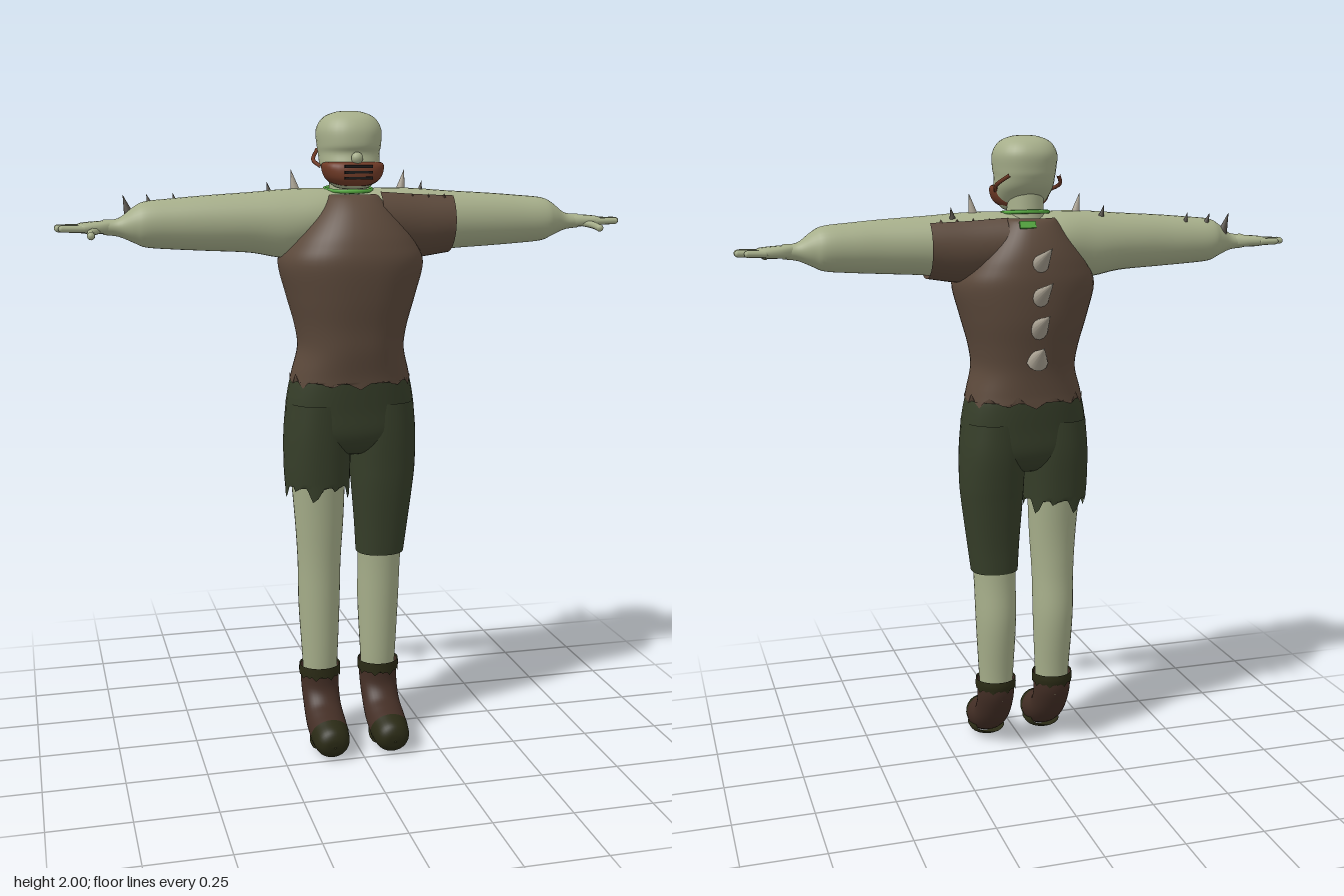
import * as THREE from 'three';

const V3 = (x, y, z) => new THREE.Vector3(x, y, z);
const mat = (name, color, side = THREE.FrontSide) => {
  const m = new THREE.MeshStandardMaterial({ color, side });
  m.name = name;
  return m;
};

// Smooth skin through cross-sections; each ring is [centre, half axis u, half axis v]
function loft(rings, { seg = 32, sub = 5, n = 2, arc = [0, 360], hem } = {}) {
  const curves = [0, 1, 2].map(k => new THREE.CatmullRomCurve3(rings.map(r => r[k]), false, 'catmullrom', 0.5));
  const rows = (rings.length - 1) * sub;
  const closed = arc[1] - arc[0] === 360;
  const cols = closed ? seg : seg + 1;
  const pos = [], idx = [];
  const bend = s => Math.sign(s) * Math.pow(Math.abs(s), 2 / n);
  let turn = 0;
  for (let i = 0; i <= rows; i++) {
    const [c, u, v] = curves.map(k => k.getPoint(i / rows));
    if (i < rows) turn += u.clone().cross(v).dot(curves[0].getPoint((i + 1) / rows).sub(c));
    for (let j = 0; j < cols; j++) {
      const a = THREE.MathUtils.degToRad(arc[0] + (arc[1] - arc[0]) * j / seg);
      const p = c.clone().addScaledVector(u, bend(Math.cos(a))).addScaledVector(v, bend(Math.sin(a)));
      if (hem && i === 0) p.y += hem[j % hem.length];
      pos.push(p.x, p.y, p.z);
    }
  }
  for (let i = 0; i < rows; i++) for (let j = 0; j < seg; j++) {
    const a = i * cols + j, b = i * cols + (j + 1) % cols, c = a + cols, d = b + cols;
    if (turn < 0) idx.push(a, c, b, b, c, d);
    else idx.push(a, b, c, b, d, c);
  }
  const g = new THREE.BufferGeometry();
  g.setAttribute('position', new THREE.Float32BufferAttribute(pos, 3));
  g.setIndex(idx);
  g.computeVertexNormals();
  return g;
}

// Upright ring: height, centre x, half width, back z, front z
const up = ([y, cx, rx, z0, z1]) => [V3(cx, y, (z0 + z1) / 2), V3(rx, 0, 0), V3(0, 0, (z1 - z0) / 2)];
// Sideways ring for arms: x, bottom y, top y, back z, front z
const across = s => ([x, y0, y1, z0, z1]) =>
  [V3(s * x, (y0 + y1) / 2, (z0 + z1) / 2), V3(0, 0, (z1 - z0) / 2), V3(0, (y1 - y0) / 2, 0)];
// Tilted ring for boots: heel-side z, y, instep-side z, y, half width
const tilted = cx => ([zb, yb, zf, yf, rx]) =>
  [V3(cx, (yb + yf) / 2, (zb + zf) / 2), V3(rx, 0, 0), V3(0, (yf - yb) / 2, (zf - zb) / 2)];

export function createModel() {
  const root = new THREE.Group();
  root.name = 'figure';
  const skin = mat('paleGreenSkin', 0xa6ae8a);
  const shirt = mat('brownShirt', 0x5c493b, THREE.DoubleSide);
  const pants = mat('darkGreenTrousers', 0x363e29, THREE.DoubleSide);
  const boot = mat('bootLeather', 0x432e25, THREE.DoubleSide);
  const trim = mat('oliveTrim', 0x2a2a15, THREE.DoubleSide);
  const mask = mat('rustMask', 0x6f3a26);
  const bone = mat('boneSpike', 0xaba394);
  const dark = mat('darkSpike', 0x4f4a42);
  const green = mat('brightGreen', 0x55a83f);
  const black = mat('blackGrille', 0x1d1a19);

  const add = (name, geo, m) => {
    const mesh = new THREE.Mesh(geo, m);
    mesh.name = name;
    root.add(mesh);
    return mesh;
  };
  const spike = (name, base, tip, r, m) => {
    const dir = tip.clone().sub(base), len = dir.length();
    const g = new THREE.ConeGeometry(r, len, 14).translate(0, len / 2, 0);
    const mesh = add(name, g, m);
    mesh.position.copy(base);
    mesh.quaternion.setFromUnitVectors(V3(0, 1, 0), dir.normalize());
  };
  const tube = (name, pts, r, m) =>
    add(name, new THREE.TubeGeometry(new THREE.CatmullRomCurve3(pts), 16, r, 8), m);

  // Head, nose and neck
  add('head', loft([
    [1.768, 0, .004, .07, .1], [1.775, 0, .05, .03, .13], [1.80, 0, .074, 0, .145], [1.84, 0, .089, -.045, .143],
    [1.875, 0, .092, -.063, .134], [1.9, 0, .096, -.068, .142], [1.945, 0, .098, -.07, .137],
    [1.98, 0, .078, -.045, .112], [1.997, 0, .04, 0, .07], [2, 0, .002, .033, .037]
  ].map(up), { n: 2.2 }), skin);
  const nose = add('nose', new THREE.SphereGeometry(.018, 14, 10), skin);
  nose.position.set(0, 1.862, .142);
  add('neck', loft([[1.68, 0, .08, -.05, .1], [1.75, 0, .06, -.035, .085], [1.83, 0, .055, -.03, .08]].map(up)), skin);

  // Mouth mask with grille bars and straps
  add('mask', loft([
    [1.778, 0, .005, .07, .1], [1.782, 0, .05, .02, .145], [1.80, 0, .08, .01, .162],
    [1.83, 0, .093, .01, .162], [1.848, 0, .088, .02, .15], [1.85, 0, .06, .03, .13]
  ].map(up), { n: 2.6 }), mask);
  for (const y of [1.804, 1.821, 1.838]) {
    const bar = add('grilleBar', new THREE.BoxGeometry(.085, .008, .009), black);
    bar.position.set(0, y, .161);
  }
  for (const s of [-1, 1]) {
    tube('maskStrap', [V3(s * .088, 1.835, .05), V3(s * .1, 1.855, -.01), V3(s * .075, 1.885, -.07)], .006, mask);
  }

  // Green collar
  const collar = add('collar', new THREE.TorusGeometry(.072, .006, 8, 36), green);
  collar.rotation.x = Math.PI / 2 + .08;
  collar.position.set(0, 1.768, .03);
  const patch = add('collarPatch', new THREE.BoxGeometry(.05, .022, .008), green);
  patch.position.set(.03, 1.738, -.1);
  patch.rotation.x = .5;

  // Shirt body with torn hem
  add('shirtBody', loft([
    [1.185, 0, .188, -.092, .193], [1.22, 0, .18, -.092, .198], [1.29, 0, .163, -.098, .213], [1.36, 0, .172, -.112, .223],
    [1.45, 0, .197, -.132, .24], [1.55, 0, .221, -.142, .252], [1.61, 0, .197, -.14, .242],
    [1.66, 0, .162, -.132, .222], [1.71, 0, .122, -.115, .19], [1.745, 0, .094, -.095, .155], [1.755, 0, .085, -.075, .13]
  ].map(up), { seg: 48, n: 2.35, hem: [0, .008, .022, .01, -.012, .004, .03, -.004] }), shirt);

  // Torn left sleeve, open along the top
  add('leftSleeve', loft([
    [.08, 1.57, 1.785, -.09, .16], [.2, 1.558, 1.777, -.073, .151], [.312, 1.572, 1.77, -.06, .146]
  ].map(across(1)), { arc: [132, 412], seg: 36 }), shirt);
  for (const z of [-.03, .115]) for (let i = 0; i < 4; i++) {
    const rag = add('sleeveRag', new THREE.ConeGeometry(.022, .035, 3), shirt);
    rag.position.set(.13 + i * .05, 1.738, z);
    rag.scale.z = .3;
  }

  for (const s of [-1, 1]) {
    const side = s > 0 ? 'left' : 'right';
    // Arm with swollen forearm and narrow wrist
    add(side + 'Arm', loft([
      [.0, 1.62, 1.765, -.06, .12], [.1, 1.59, 1.772, -.075, .14], [.2, 1.565, 1.77, -.062, .142],
      [.31, 1.582, 1.762, -.045, .134], [.44, 1.59, 1.754, -.03, .125], [.54, 1.596, 1.746, -.025, .118],
      [.62, 1.603, 1.738, -.02, .112], [.655, 1.617, 1.722, -.004, .1], [.7, 1.636, 1.69, .018, .078], [.745, 1.642, 1.686, .02, .074]
    ].map(across(s))), skin);
    // Hand
    add(side + 'Palm', loft([
      [.715, 1.645, 1.685, .022, .07], [.75, 1.645, 1.683, .008, .08], [.79, 1.646, 1.68, .002, .085],
      [.815, 1.65, 1.676, .008, .08], [.82, 1.66, 1.666, .03, .06]
    ].map(across(s)), { seg: 20, n: 2.5 }), skin);
    for (let i = 0; i < 4; i++) {
      const f = add(side + 'Finger', new THREE.CapsuleGeometry(.0105, [.05, .075, .075, .065][i], 5, 10), skin);
      f.rotation.z = Math.PI / 2 + s * .02;
      f.position.set(s * (.835 + [-.012, .002, .002, -.004][i]), 1.662, .075 - (3 - i) * .0215);
    }
    tube(side + 'Thumb', [V3(s * .745, 1.66, .055), V3(s * .78, 1.652, .09), V3(s * .785, 1.645, .138)], .011, skin);
    const tip = add(side + 'ThumbTip', new THREE.SphereGeometry(.0115, 10, 8), skin);
    tip.position.set(s * .785, 1.645, .138);

    // Bare leg
    add(side + 'Leg', loft([
      [.18, s * .097, .052, -.01, .09], [.27, s * .097, .057, -.015, .098], [.45, s * .098, .066, -.034, .106],
      [.6, s * .099, .069, -.024, .112], [.75, s * .1, .078, -.025, .125], [.95, s * .105, .09, -.05, .145]
    ].map(up)), skin);

    // Boot: shaft and foot, toe cap, cuff
    const foot = [
      [-.02, .245, .102, .245, .063], [-.01, .18, .1, .18, .061], [.035, .095, .125, .143, .06],
      [.095, .04, .165, .127, .062], [.165, .006, .205, .117, .061],
      [.22, 0, .247, .1, .053], [.252, .018, .263, .075, .034], [.262, .045, .264, .05, .003]
    ].map(tilted(s * .098));
    add(side + 'Boot', loft(foot.slice(0, 5)), boot);
    add(side + 'ToeCap', loft(foot.slice(4)), trim);
    add(side + 'Sole', loft([
      [.08, .034, .15, .062, .048], [.12, .012, .18, .05, .057], [.17, -.002 + .004, .21, .06, .058]
    ].map(tilted(s * .098))), trim);
    add(side + 'BootCuff', loft([
      [.215, s * .098, .066, -.02, .106], [.232, s * .098, .067, -.023, .106], [.25, s * .098, .066, -.022, .106]
    ].map(up), { hem: [0, .01, -.008, .004] }), trim);

    // Shoulder spikes
    spike('shoulderSpike', V3(s * .163, 1.755, .03), V3(s * .178, 1.828, .028), .016, bone);
    spike('smallShoulderSpike', V3(s * .238, 1.755, -.005), V3(s * .245, 1.79, -.01), .009, dark);
  }

  // Trousers: hips, short torn right leg, longer left leg
  add('trouserHips', loft([
    [.945, 0, .01, .03, .07], [.965, 0, .12, -.03, .13], [1.02, 0, .196, -.065, .165], [1.1, 0, .203, -.075, .174],
    [1.19, 0, .187, -.084, .184], [1.23, 0, .168, -.08, .185]
  ].map(up), { n: 2.3 }), pants);
  add('rightTrouserLeg', loft([
    [.845, -.105, .101, -.05, .15], [.92, -.106, .104, -.058, .156], [1.02, -.104, .105, -.068, .163], [1.12, -.1, .1, -.07, .168]
  ].map(up), { seg: 40, n: 2.2, hem: [0, .025, .012, -.018, -.03, .006, .03, .01] }), pants);
  add('leftTrouserLeg', loft([
    [.622, .099, .076, -.024, .124], [.72, .102, .085, -.03, .134], [.85, .105, .098, -.046, .149],
    [.92, .106, .103, -.056, .155], [1.02, .104, .105, -.068, .163], [1.12, .1, .1, -.07, .168]
  ].map(up), { seg: 40, n: 2.2 }), pants);

  // Spine spikes
  [[1.61, 1.68, -.25], [1.51, 1.58, -.26], [1.42, 1.48, -.23], [1.325, 1.375, -.175]].forEach(([y0, y1, z]) =>
    spike('backSpike', V3(0, y0, -.1), V3(0, y1, z), .034, bone));

  // Right forearm spikes
  spike('forearmSpike', V3(-.662, 1.685, .025), V3(-.682, 1.757, .018), .018, dark);
  spike('forearmSpike', V3(-.6, 1.72, .015), V3(-.612, 1.758, .01), .011, dark);
  spike('forearmSpike', V3(-.527, 1.725, .01), V3(-.533, 1.762, .005), .009, dark);
  return root;
}
